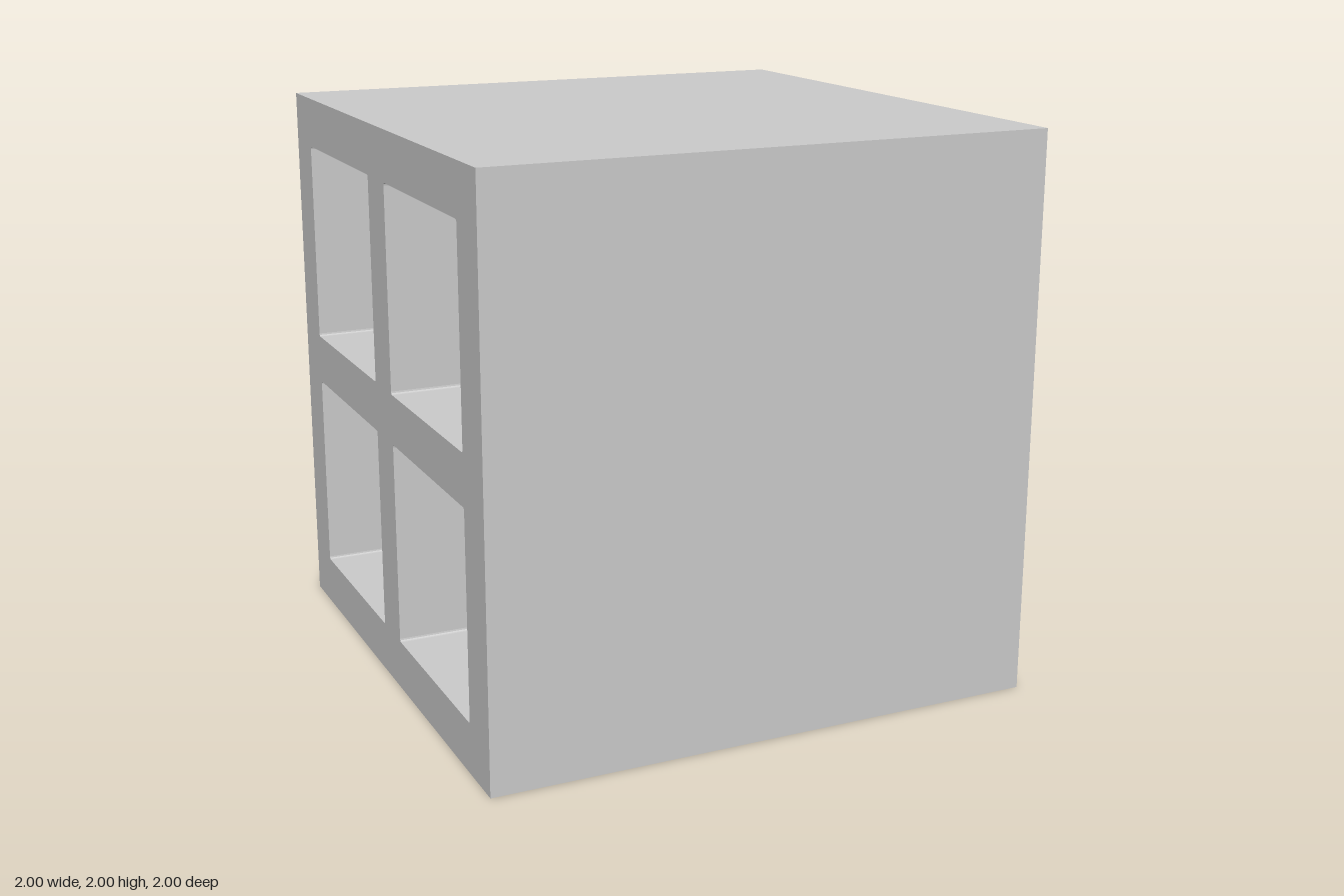
import * as THREE from 'three';

const CELL = 0.73, OFFSET = 0.455, WALL = 0.18, R = 0.01;

// Square outline with tiny rounded corners, centred on (cx, cy)
function cellOutline(path, cx, cy) {
  const h = CELL / 2, i = h - R;
  path.moveTo(cx - i, cy - h);
  path.lineTo(cx + i, cy - h);
  path.quadraticCurveTo(cx + h, cy - h, cx + h, cy - i);
  path.lineTo(cx + h, cy + i);
  path.quadraticCurveTo(cx + h, cy + h, cx + i, cy + h);
  path.lineTo(cx - i, cy + h);
  path.quadraticCurveTo(cx - h, cy + h, cx - h, cy + i);
  path.lineTo(cx - h, cy - i);
  path.quadraticCurveTo(cx - h, cy - h, cx - i, cy - h);
  return path;
}

// Extrude a side profile along x, centred on x = 0
function extrudeAlongX(shape, depth) {
  return new THREE.ExtrudeGeometry(shape, { depth, bevelEnabled: false, curveSegments: 3 })
    .translate(0, 0, -depth / 2)
    .rotateY(Math.PI / 2);
}

export function createModel() {
  const group = new THREE.Group();
  group.name = 'cubbyCube';
  const material = new THREE.MeshStandardMaterial({ color: 0xcccccc, flatShading: true });
  const add = (name, geometry) => {
    const mesh = new THREE.Mesh(geometry, material);
    mesh.name = name;
    group.add(mesh);
  };

  // Cube shell with a 2 x 2 grid of openings on both sides
  const outline = new THREE.Shape();
  outline.moveTo(-1, 0);
  outline.lineTo(1, 0);
  outline.lineTo(1, 2);
  outline.lineTo(-1, 2);
  outline.closePath();

  for (const z of [-OFFSET, OFFSET]) {
    for (const y of [1 - OFFSET, 1 + OFFSET]) {
      outline.holes.push(cellOutline(new THREE.Path(), z, y));
      // Middle wall closing each opening into two back-to-back compartments
      add('compartmentBack', extrudeAlongX(cellOutline(new THREE.Shape(), z, y), WALL));
    }
  }
  add('cubeFrame', extrudeAlongX(outline, 2));
  return group;
}
